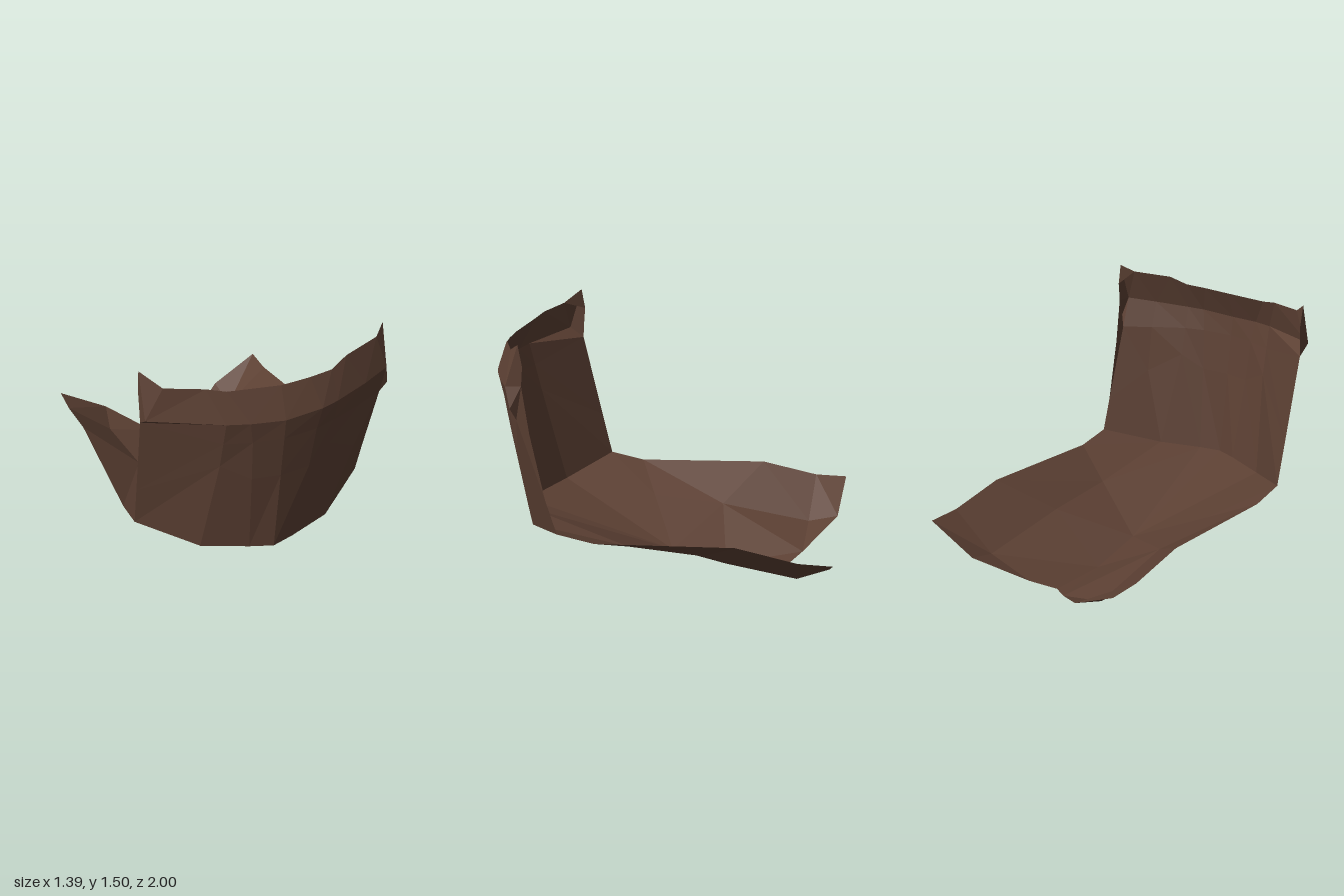
import * as THREE from 'three';

const brown = new THREE.MeshStandardMaterial({ color: 0x5c4033, flatShading: true, side: THREE.DoubleSide });
brown.name = 'dark brown';

// Builds a faceted mesh from a list of triangles
function meshFrom(triangles, name) {
  const geometry = new THREE.BufferGeometry();
  geometry.setAttribute('position', new THREE.Float32BufferAttribute(triangles.flat(2), 3));
  geometry.computeVertexNormals();
  const mesh = new THREE.Mesh(geometry, brown);
  mesh.name = name;
  return mesh;
}

// Joins neighbouring cross-sections, leaving out collapsed triangles
function loft(rows, name) {
  const triangles = [];
  const same = (p, q) => p.every((v, k) => v === q[k]);
  const add = (a, b, c) => {
    if (!same(a, b) && !same(b, c) && !same(a, c)) triangles.push([a, b, c]);
  };
  for (let r = 0; r < rows.length - 1; r++) {
    for (let i = 0; i < rows[r].length - 1; i++) {
      const a = rows[r][i], b = rows[r][i + 1], c = rows[r + 1][i], d = rows[r + 1][i + 1];
      add(a, b, d);
      add(a, d, c);
    }
  }
  return meshFrom(triangles, name);
}

// Mirrors a half section (side edge to keel) about the keel line
const KEEL_X = -0.015;
function mirrored(half) {
  const left = half.map(([x, y, z]) => [KEEL_X - x, y, z]);
  const right = half.slice(0, -1).reverse().map(([x, y, z]) => [KEEL_X + x, y, z]);
  return [...left, ...right];
}

export function createModel() {
  const group = new THREE.Group();
  group.name = 'bentShell';

  // Trough-shaped floor with a notched back, from front to back
  const floorRows = [
    [[0.68, 0.42, 0.53], [0.38, 0.335, 0.76], [0.13, 0.332, 0.86], [0, 0.33, 0.9]],
    [[0.68, 0.38, 0.32], [0.4, 0.25, 0.188], [0, 0.07, 0], [0, 0.07, 0]],
    [[0.68, 0.42, -0.47], [0.4, 0.225, -0.25], [0, 0.07, 0], [0, 0.07, 0]],
    [[0.68, 0.42, -0.47], [0.4, 0.225, -0.25], [0, 0, -0.33], [0, 0, -0.33]],
    [[0.68, 0.355, -0.81], [0.42, 0.14, -0.79], [0.13, 0.06, -0.78], [0, 0.015, -0.69]],
    [[0.68, 0.355, -1], [0.39, 0.2, -0.97], [0.13, 0.06, -0.78], [0, 0.015, -0.69]],
  ].map(mirrored);
  group.add(loft(floorRows, 'floor'));

  // Curved upright wall, from the fold at the floor to the fold at the rim
  const base = [...floorRows[0]];
  base.splice(6, 0, [0.5, 0.373, 0.657]);
  const top = [[-0.695, 1.25, 0.79], [-0.32, 1.235, 0.95], [-0.2, 1.23, 0.98], [KEEL_X, 1.22, 1],
    [0.2, 1.23, 0.98], [0.3, 1.235, 0.95], [0.5, 1.25, 0.87], [0.665, 1.265, 0.79]];
  const upper = [[-0.695, 1.19, 0.705], [-0.325, 1.1, 0.92], [-0.18, 1.1, 0.963], [KEEL_X, 1.1, 0.987],
    [0.18, 1.1, 0.963], [0.3, 1.1, 0.92], [0.5, 1.09, 0.825], [0.665, 1.08, 0.735]];
  const middle = [[-0.695, 0.68, 0.59], [-0.33, 0.94, 0.885], [-0.17, 0.85, 0.935], [KEEL_X, 0.85, 0.958],
    [0.16, 0.85, 0.935], [0.3, 0.93, 0.885], [0.5, 0.8, 0.79], [0.665, 0.62, 0.59]];
  group.add(loft([base, middle, upper, top], 'wall'));

  // Rim leaning inward above the wall
  const rim = [[-0.6, 1.43, 0.8], [-0.4, 1.42, 0.87], [-0.3, 1.4, 0.9], [KEEL_X, 1.39, 0.93],
    [0.15, 1.395, 0.92], [0.28, 1.4, 0.9], [0.38, 1.44, 0.86], [0.6, 1.455, 0.77]];
  group.add(loft([top, rim], 'rim'));

  // Pointed torn corners at both ends of the rim
  function corner(outer, rimEnd, x, name) {
    const tip = [x, 1.5, 0.71], back = [x, 1.38, 0.69], low = [x, 1.27, 0.7];
    group.add(meshFrom([
      [outer, rimEnd, tip], [outer, tip, back], [outer, back, low], [rimEnd, back, tip],
    ], name));
  }
  corner(top[0], rim[0], -0.695, 'rightCorner');
  corner(top[7], rim[7], 0.665, 'leftCorner');

  // Bump and folded edge on the left, small fold on the right
  const bump = [0.695, 1.15, 0.76], low = [0.665, 1.27, 0.7], edge = [0.665, 1, 0.665];
  group.add(meshFrom([
    [upper[7], bump, top[7]], [bump, low, top[7]], [upper[7], low, bump],
    [upper[7], edge, low], [upper[7], middle[7], edge],
  ], 'leftEdge'));
  group.add(meshFrom([[upper[0], top[0], [-0.695, 1.27, 0.7]]], 'rightEdge'));

  return group;
}
